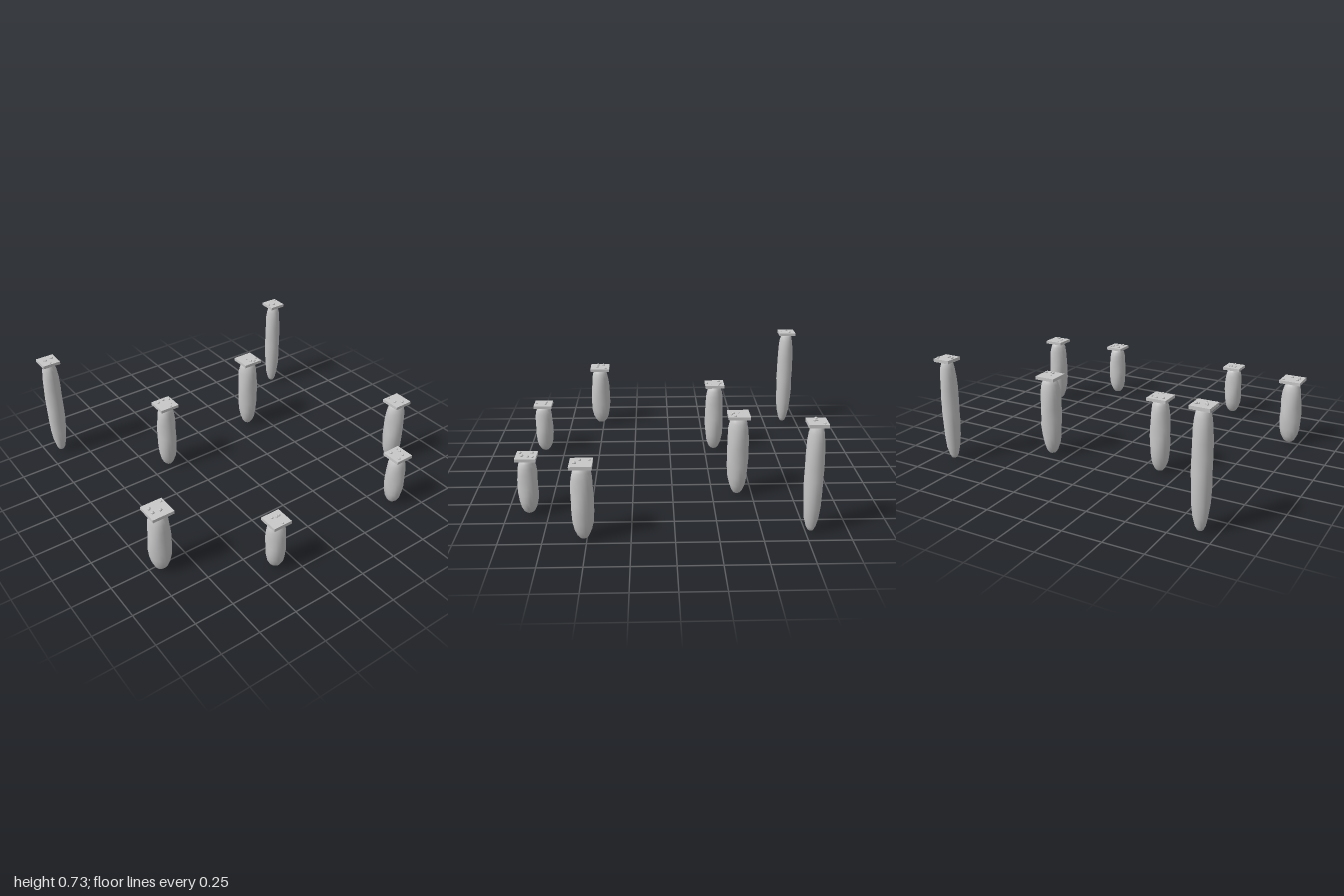
import * as THREE from 'three';
import { mergeVertices } from 'three/addons/utils/BufferGeometryUtils.js';

const stone = new THREE.MeshStandardMaterial({ color: 0xc8c8c8 });
stone.name = 'stone grey';

// Each pillar: centre, slab underside height, slab size, body radius, taper,
// and pebbles as [x, z, radius] offsets in hundredths from the slab centre
const pillars = [
  { x: -0.90, z: -0.898, h: 0.703, size: 0.118, r: 0.057, taper: 0,
    pebbles: [[-1.6, 0, 1], [3.5, -1.5, 1], [0, 4.2, 0.5], [-2.4, -1, 0.7], [2.4, -1.2, 0.7]] },
  { x: 0.884, z: -0.781, h: 0.656, size: 0.113, r: 0.054, taper: 0,
    pebbles: [[-4, 0.2, 1], [-0.8, 1.4, 1.1], [4, -3.2, 0.9], [-1, 0.2, 0.7]] },
  { x: -0.367, z: -0.316, h: 0.471, size: 0.13, r: 0.064, taper: 0.1,
    pebbles: [[-3.3, -3, 1.1], [1, -4, 1], [4.6, -2.6, 0.9], [3.2, 2.7, 0.5], [1, 5.4, 0.8]] },
  { x: 0.374, z: -0.407, h: 0.516, size: 0.134, r: 0.067, taper: 0,
    pebbles: [[-1, 0, 0.6], [0, 3.5, 1], [2.2, 4.6, 0.9], [4.8, 2.6, 1]] },
  { x: -0.926, z: 0.519, h: 0.427, size: 0.141, r: 0.071, taper: 0.2,
    pebbles: [[-3.9, -2.4, 1.2], [-4, 1.6, 1.2], [1, 2.1, 1.1], [5, -4.3, 0.9]] },
  { x: 0.932, z: 0.519, h: 0.447, size: 0.128, r: 0.065, taper: 0.05,
    pebbles: [[-2.9, -4.6, 0.7], [-2.7, 0.8, 1], [1.4, 3.5, 1.2]] },
  { x: -0.368, z: 0.889, h: 0.331, size: 0.124, r: 0.061, taper: 0.05,
    pebbles: [[-1.6, -2.1, 1], [1.4, -1.6, 1.1], [0.8, 4.8, 0.8], [3, -1.6, 0.9]] },
  { x: 0.607, z: 0.869, h: 0.354, size: 0.124, r: 0.062, taper: 0.1,
    pebbles: [[-2.9, -3.2, 1.1], [3.5, -4.3, 0.8], [2.9, -1.3, 1], [1.6, 2.4, 1.1], [-2.9, 4, 1]] },
];

// Radius along the height: pointed base, full belly, narrow neck
const profile = [[0, 0], [0.33, 0.015], [0.53, 0.05], [0.76, 0.13], [0.91, 0.24], [0.99, 0.38], [1, 0.5],
  [1, 0.62], [0.98, 0.74], [0.93, 0.85], [0.82, 0.93], [0.68, 0.975], [0.52, 1], [0, 1]];

function bodyGeometry({ h, r, taper }, seed) {
  const points = profile.map(([k, t]) => new THREE.Vector2(k * r * (1 + taper * (0.4 - t)), t * h));
  let geo = new THREE.LatheGeometry(points, 20);
  geo.deleteAttribute('uv');
  geo.deleteAttribute('normal');
  geo = mergeVertices(geo, 1e-5);
  // Gentle weathered bumps
  const p = geo.attributes.position;
  for (let i = 0; i < p.count; i++) {
    const x = p.getX(i), y = p.getY(i), z = p.getZ(i), a = Math.atan2(z, x);
    const bump = 1 + 0.025 * Math.sin(3 * a + 24 * y + seed) + 0.02 * Math.sin(5 * a - 40 * y + seed * 2.3);
    p.setXYZ(i, x * bump, y, z * bump);
  }
  geo.computeVertexNormals();
  return geo;
}

export function createModel() {
  const model = new THREE.Group();
  model.name = 'stonePillars';
  const pebbleGeo = new THREE.SphereGeometry(1, 8, 6);

  pillars.forEach((spec, i) => {
    const pillar = new THREE.Group();
    pillar.name = `pillar${i + 1}`;
    pillar.position.set(spec.x, 0, spec.z);

    const body = new THREE.Mesh(bodyGeometry(spec, i * 1.7), stone);
    body.name = 'pillarBody';
    pillar.add(body);

    // Square slab on top
    const slab = new THREE.Mesh(new THREE.BoxGeometry(spec.size, 0.02, spec.size), stone);
    slab.name = 'topSlab';
    slab.position.y = spec.h + 0.01;
    pillar.add(slab);

    // Loose pebbles half sunk into the slab
    spec.pebbles.forEach(([px, pz, pr], j) => {
      const pebble = new THREE.Mesh(pebbleGeo, stone);
      pebble.name = 'pebble';
      const s = pr * 0.01;
      pebble.scale.set(s, s * 0.8, s * 0.85);
      pebble.rotation.y = j * 1.3 + i;
      pebble.position.set(px * 0.01, spec.h + 0.02 + s * 0.3, pz * 0.01);
      pillar.add(pebble);
    });
    model.add(pillar);
  });
  return model;
}
